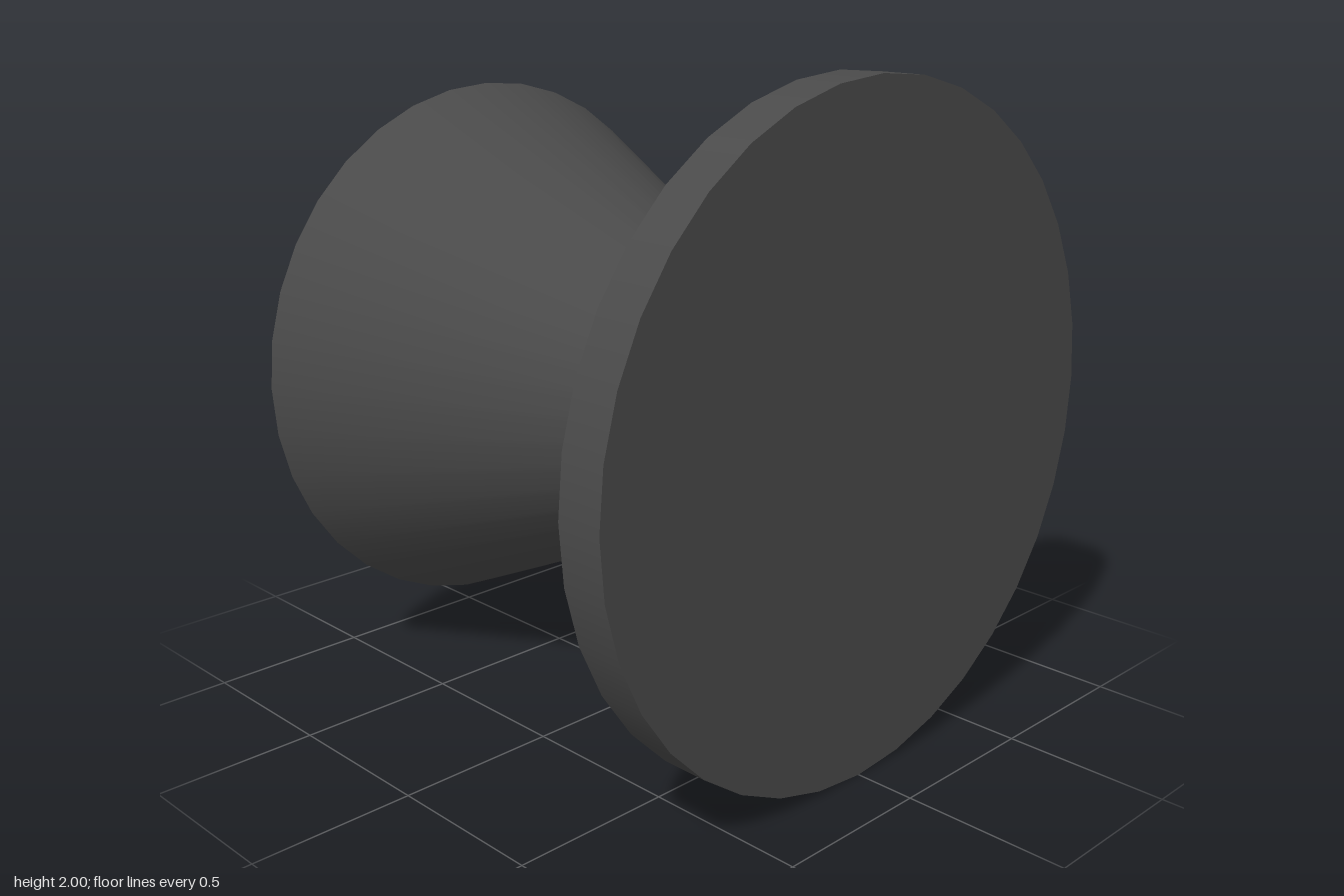
import * as THREE from 'three';
import { mergeGeometries } from 'three/addons/utils/BufferGeometryUtils.js';

const SIDES = 36;

// Revolves a profile of [radius, z] points around the z axis, keeping its corners sharp
function turned(profile) {
  const bands = [];
  for (let i = 0; i < profile.length - 1; i++) {
    const pts = [profile[i], profile[i + 1]].map(([r, z]) => new THREE.Vector2(r, z));
    bands.push(new THREE.LatheGeometry(pts, SIDES));
  }
  return mergeGeometries(bands).rotateX(Math.PI / 2);
}

export function createModel() {
  const model = new THREE.Group();
  model.name = 'hornAndDisc';
  const darkGrey = new THREE.MeshStandardMaterial({ color: 0x4a4a4a });
  darkGrey.name = 'darkGrey';

  const add = (name, profile) => {
    const mesh = new THREE.Mesh(turned(profile), darkGrey);
    mesh.name = name;
    mesh.position.y = 1;
    model.add(mesh);
  };

  // Front disc with a shallow conical back
  add('disc', [[0, 0.6], [0.21, 0.6], [1, 0.67], [1, 0.815], [0, 0.815]]);

  // Hollow horn: floor, inner wall, rim, outer wall
  add('horn', [[0, 0.59], [0.19, 0.59], [0.845, -0.815], [0.865, -0.815], [0.21, 0.6]]);

  return model;
}
